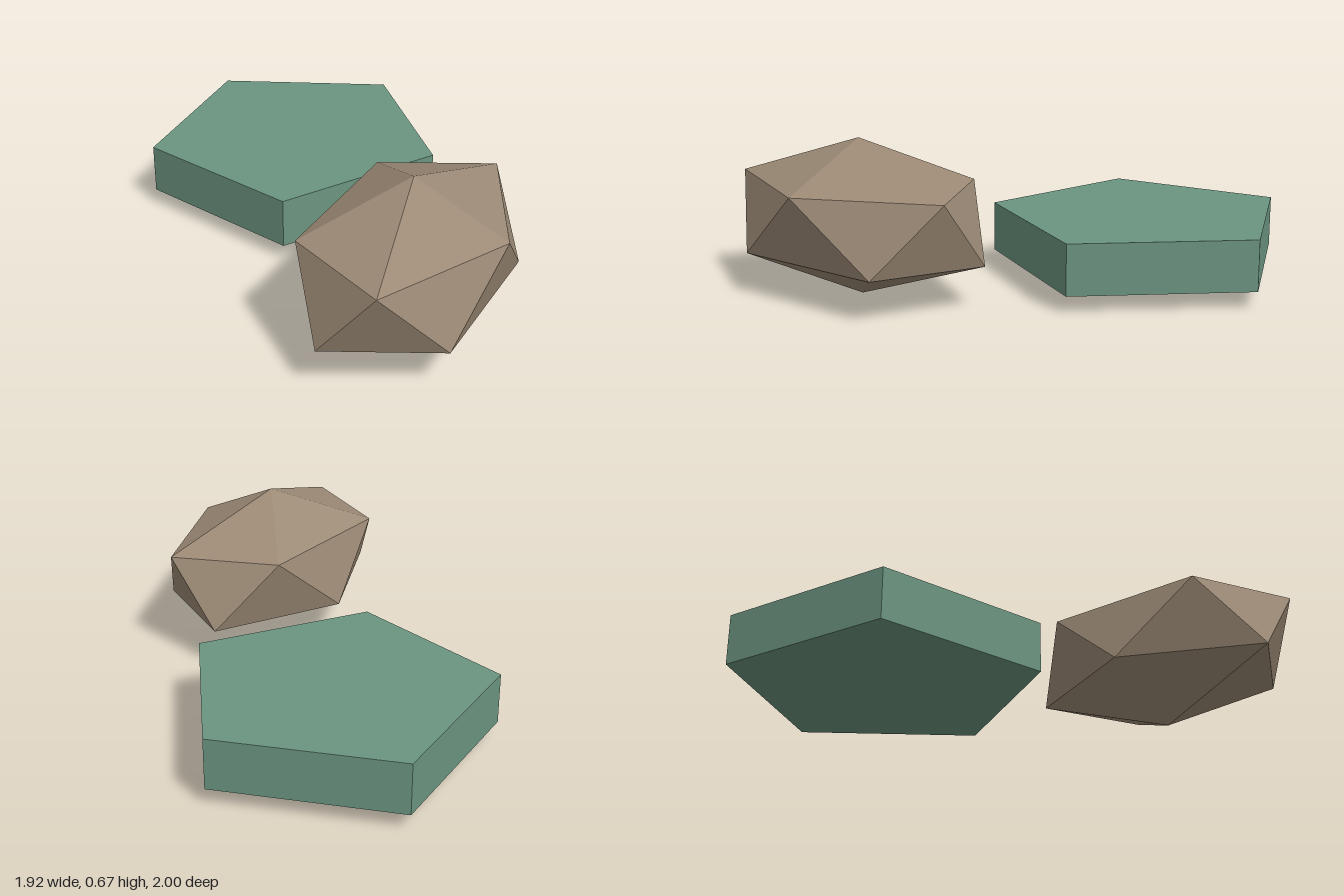
import * as THREE from 'three';

export function createModel() {
  const model = new THREE.Group();
  const green = new THREE.MeshStandardMaterial({ name: 'sageGreen', color: 0x6b9480, flatShading: true });
  const brown = new THREE.MeshStandardMaterial({ name: 'stoneBrown', color: 0x9c8a76, flatShading: true });

  // Flat five-sided slab, turned slightly about the vertical
  const slab = new THREE.Mesh(new THREE.CylinderGeometry(0.665, 0.665, 0.218, 5), green);
  slab.name = 'pentagonSlab';
  slab.rotation.y = 0.42;
  slab.position.set(-0.384, 0.181, -0.35);
  model.add(slab);

  // Stretched icosahedron standing on one corner, with an upper ring corner towards +x
  const golden = (1 + Math.sqrt(5)) / 2;
  const rockShape = new THREE.IcosahedronGeometry(1, 0);
  rockShape.rotateX(-Math.atan(golden));
  rockShape.rotateY(Math.PI / 2);
  rockShape.scale(0.442, 0.333, 0.667);
  rockShape.computeVertexNormals();
  const rock = new THREE.Mesh(rockShape, brown);
  rock.name = 'rock';
  rock.position.set(0.56, 0.333, 0.432);
  model.add(rock);

  return model;
}
